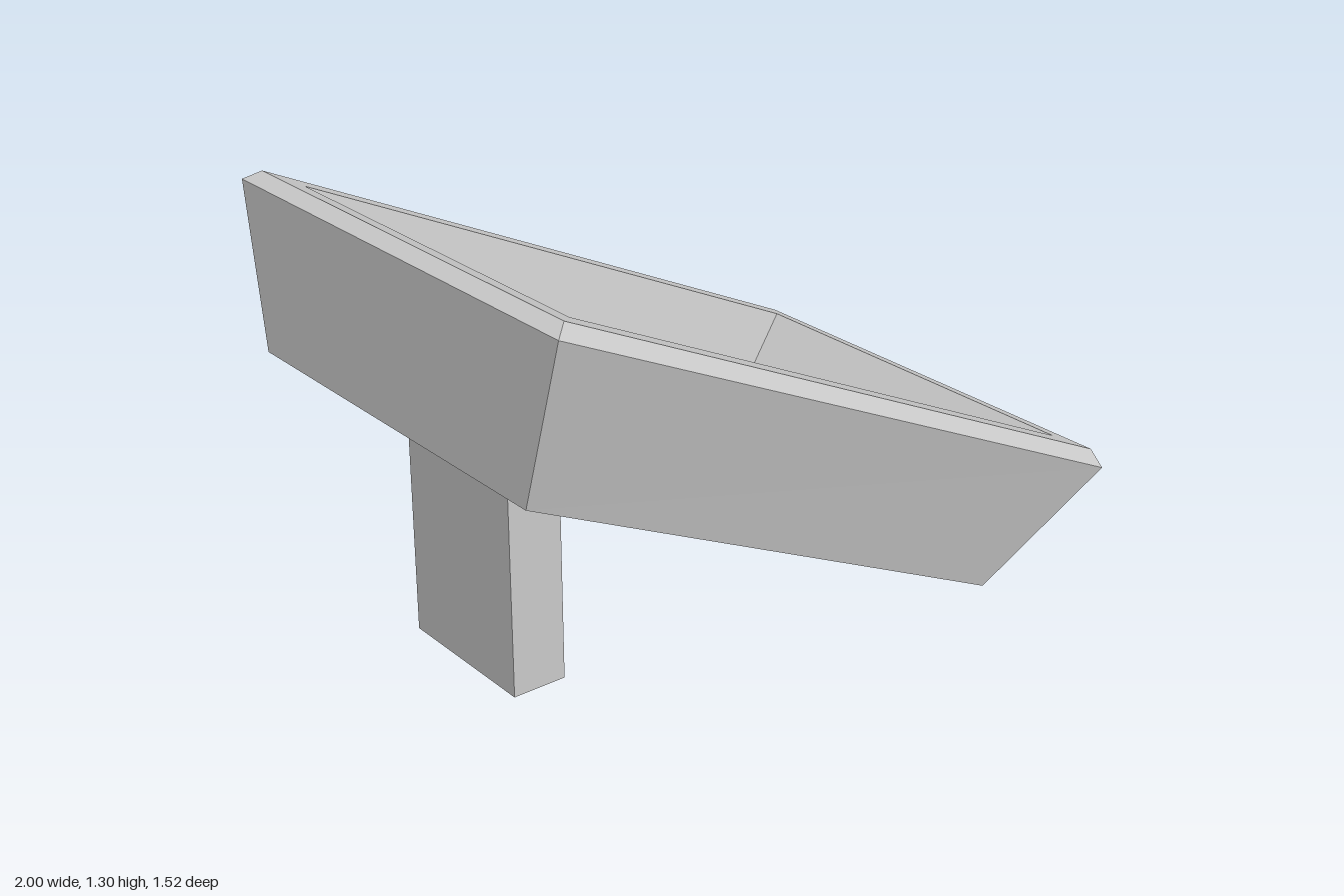
import * as THREE from 'three';

const material = new THREE.MeshStandardMaterial({ color: 0xcccccc, flatShading: true });

// Four corners of a tilted rectangle: raised end (-x), low end (+x), front and back z.
function ring(xHigh, yHigh, xLow, yLow, zFront, zBack) {
  return [
    [xHigh, yHigh, zFront], [xLow, yLow, zFront],
    [xLow, yLow, zBack], [xHigh, yHigh, zBack],
  ];
}

// Skin consecutive rings with quads and close the first and last ring.
function skinRings(rings) {
  const positions = [];
  const quad = (a, b, c, d) => positions.push(...a, ...b, ...c, ...a, ...c, ...d);
  for (let r = 0; r < rings.length - 1; r++) {
    const lower = rings[r], upper = rings[r + 1];
    for (let i = 0; i < 4; i++) {
      const j = (i + 1) % 4;
      quad(lower[i], lower[j], upper[j], upper[i]);
    }
  }
  quad(...[...rings[0]].reverse());
  quad(...rings[rings.length - 1]);
  const geometry = new THREE.BufferGeometry();
  geometry.setAttribute('position', new THREE.Float32BufferAttribute(positions, 3));
  geometry.computeVertexNormals();
  return geometry;
}

export function createModel() {
  const group = new THREE.Group();
  group.name = 'tiltedTrough';

  // Trough: underside, outer wall, bevelled rim, inner wall, inner floor
  const trough = new THREE.Mesh(skinRings([
    ring(-1.0, 0.8, 0.64, 0.03, 0.64, -0.64),
    ring(-0.975, 1.28, 1.0, 0.36, 0.76, -0.765),
    ring(-0.93, 1.305, 0.99, 0.41, 0.72, -0.727),
    ring(-0.855, 1.27, 0.91, 0.447, 0.637, -0.625),
    ring(-0.88, 0.8, 0.56, 0.123, 0.51, -0.505),
  ]), material);
  trough.name = 'trough';
  group.add(trough);

  // Support leg: its sloped top just enters the underside
  const profile = new THREE.Shape([
    new THREE.Vector2(-0.79, 0), new THREE.Vector2(-0.62, 0),
    new THREE.Vector2(-0.62, 0.64), new THREE.Vector2(-0.79, 0.72),
  ]);
  const legGeometry = new THREE.ExtrudeGeometry(profile, { depth: 0.49, bevelEnabled: false });
  legGeometry.translate(0, 0, -0.245);
  const leg = new THREE.Mesh(legGeometry, material);
  leg.name = 'supportLeg';
  group.add(leg);

  return group;
}
